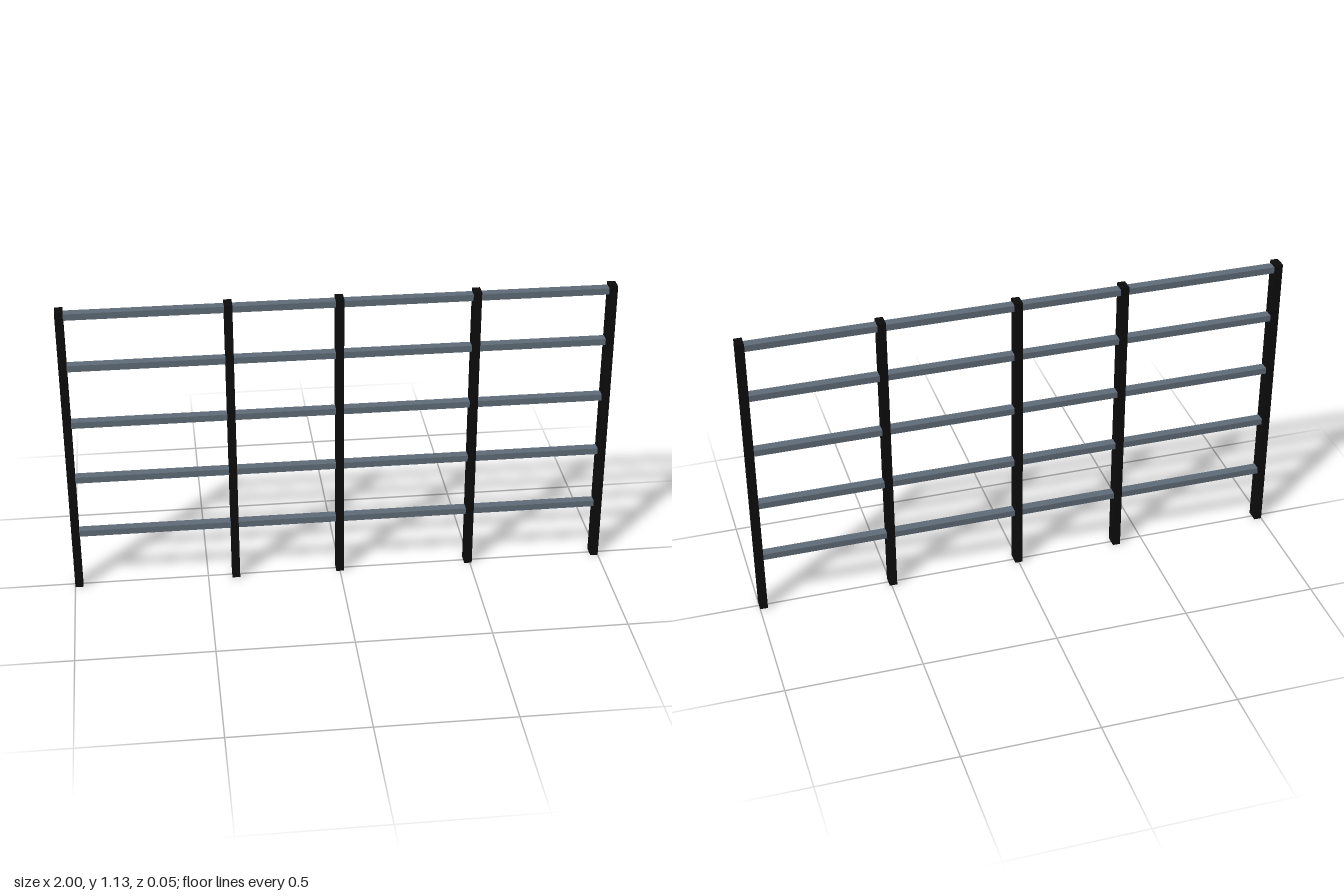
import * as THREE from 'three';

const HEIGHT = 1.132, POST_W = 0.029, POST_D = 0.048;
const RAIL_H = 0.024, RAIL_D = 0.034;

export function createModel() {
  const fence = new THREE.Group();
  fence.name = 'fence';
  const postBlack = new THREE.MeshStandardMaterial({ name: 'postBlack', color: 0x0c0c0c });
  const railGrey = new THREE.MeshStandardMaterial({ name: 'railGrey', color: 0x606c78 });

  const addBox = (name, material, size, position) => {
    const mesh = new THREE.Mesh(new THREE.BoxGeometry(...size), material);
    mesh.name = name;
    mesh.position.set(...position);
    fence.add(mesh);
  };

  // Upright posts, unevenly spaced
  const postXs = [-0.9855, -0.395, 0, 0.493, 0.9855];
  for (const x of postXs) {
    addBox('post', postBlack, [POST_W, HEIGHT, POST_D], [x, HEIGHT / 2, 0]);
  }

  // Horizontal rails, one piece for each bay between neighbouring posts
  const railYs = [0.228, 0.455, 0.682, 0.909, 1.11];
  for (const y of railYs) {
    for (let i = 0; i < postXs.length - 1; i++) {
      const length = postXs[i + 1] - postXs[i] - POST_W;
      addBox('rail', railGrey, [length, RAIL_H, RAIL_D], [(postXs[i] + postXs[i + 1]) / 2, y, 0]);
    }
  }
  return fence;
}
